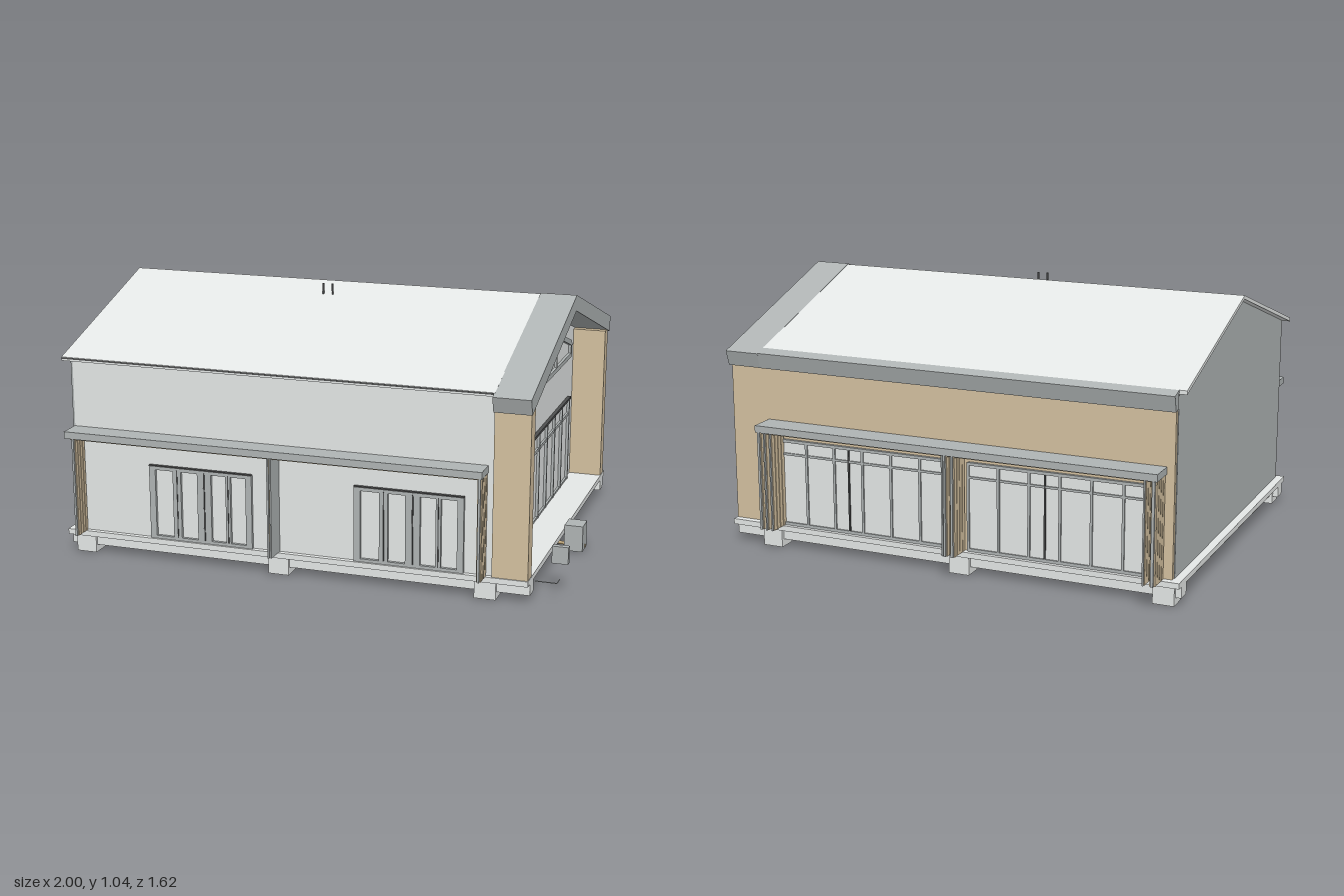
import * as THREE from 'three';

const mat = (name, color) => {
  const m = new THREE.MeshStandardMaterial({ color });
  m.name = name;
  return m;
};

export function createModel() {
  const model = new THREE.Group();
  model.name = 'gabledHall';
  const white = mat('pale cladding', 0xe4e7e6);
  const metal = mat('grey metal', 0xafb4b4);
  const tan = mat('timber', 0xd4c1a0);
  const dark = mat('dark trim', 0x4e4f4f);
  const brown = mat('brown pipe', 0xb59c6c);

  const add = (name, geo, material, parent = model) => {
    const m = new THREE.Mesh(geo, material);
    m.name = name;
    parent.add(m);
    return m;
  };
  // box from its minimum and maximum on each axis
  const box = (name, material, x0, x1, y0, y1, z0, z1, parent = model) => {
    const g = new THREE.BoxGeometry(x1 - x0, y1 - y0, z1 - z0);
    g.translate((x0 + x1) / 2, (y0 + y1) / 2, (z0 + z1) / 2);
    return add(name, g, material, parent);
  };
  // section given as [z, y] points, extruded along x
  const prism = (name, material, pts, x0, x1, hole) => {
    const toV = p => new THREE.Vector2(p[0], p[1]);
    const s = new THREE.Shape(pts.map(toV));
    if (hole) s.holes.push(new THREE.Path(hole.map(toV)));
    const g = new THREE.ExtrudeGeometry(s, { depth: x1 - x0, bevelEnabled: false });
    g.rotateY(-Math.PI / 2);
    g.translate(x1, 0, 0);
    return add(name, g, material);
  };
  const pipe = (name, material, r, pts) => {
    for (let i = 1; i < pts.length; i++) {
      const path = new THREE.LineCurve3(new THREE.Vector3(...pts[i - 1]), new THREE.Vector3(...pts[i]));
      add(name, new THREE.TubeGeometry(path, 1, r, 8), material);
    }
  };

  const ridge = 0.01, slope = 0.313;
  const roofY = (z, drop = 0) => 1.03 - drop - slope * Math.abs(z - ridge);

  // Foundation: slab, beams and footings
  box('floorSlab', white, -1, 0.885, 0.076, 0.098, -0.73, 0.735);
  for (const z of [0.67, -0.67]) box('longBeam', white, -1, 0.885, 0.03, 0.076, z - 0.028, z + 0.028);
  for (const x of [-0.935, -0.11, 0.715]) {
    box('crossBeam', white, x - 0.03, x + 0.03, 0.032, 0.076, -0.66, 0.66);
    for (const z of [0.67, -0.675]) box('footing', white, x - 0.042, x + 0.042, 0, 0.076, z - 0.038, z + 0.038);
  }

  // Hall body and its claddings
  const zF = 0.715, zB = -0.685;
  const section = [[zB, 0.098], [zF, 0.098], [zF, roofY(zF, 0.015)], [ridge, 1.015], [zB, roofY(zB, 0.015)]];
  prism('hallBody', white, section, -0.96, 0.745);
  prism('endCladding', metal, section, -0.968, -0.96);
  box('backWall', tan, -0.965, 0.75, 0.098, 0.785, -0.702, zB);
  box('frontWingWall', tan, 0.745, 0.883, 0.098, 0.748, 0.67, 0.73);
  box('backWingWall', tan, 0.745, 0.883, 0.098, 0.748, -0.702, -0.645);

  // Roof: thin main sheets, thick gable overhang, deep back eave
  const rf = 0.73, rb = -0.692;
  prism('mainRoof', white, [[rf, roofY(rf, 0.015)], [rf, roofY(rf)], [ridge, 1.03], [rb, roofY(rb)],
    [rb, roofY(rb, 0.015)], [ridge, 1.015]], -1, 0.745);
  prism('gableOverhang', metal, [[0.738, 0.734], [0.758, 0.795], [ridge, 1.033], [-0.738, 0.795],
    [-0.718, 0.734], [ridge, 0.97]], 0.742, 0.887);
  prism('backEave', metal, [[rb, roofY(rb)], [-0.738, 0.797], [-0.72, 0.734], [rb, 0.742]], -0.97, 0.745);
  box('frontEaveTrim', dark, -0.998, 0.742, 0.797, 0.803, 0.715, 0.731);
  for (const x of [-0.13, -0.09]) {
    const g = new THREE.CylinderGeometry(0.004, 0.004, 0.05, 10);
    g.translate(x, 1.013, 0.12);
    add('roofVent', g, dark);
  }

  // Upper gable window
  prism('gableWindowFrame', metal,
    [[0.577, 0.645], [0.585, 0.653], [0.585, 0.705], [0.575, 0.719], [ridge, 0.902],
      [-0.555, 0.719], [-0.565, 0.705], [-0.565, 0.653], [-0.557, 0.645]], 0.744, 0.757,
    [[0.565, 0.664], [0.565, 0.7], [ridge, 0.881], [-0.545, 0.7], [-0.545, 0.664]]);
  for (const z of [0.3, ridge, -0.28]) {
    const top = 0.893 - 0.32 * Math.abs(z - ridge);
    box('gableWindowMullion', metal, 0.744, 0.754, 0.65, top, z - 0.005, z + 0.005);
  }

  // Lower gable glazing
  box('glazingHead', dark, 0.744, 0.76, 0.459, 0.469, -0.56, 0.585);
  box('glazingTransom', metal, 0.744, 0.754, 0.388, 0.4, -0.56, 0.585);
  box('glazingSill', metal, 0.744, 0.754, 0.098, 0.106, -0.56, 0.585);
  for (let i = 0; i < 9; i++) {
    const z = 0.578 - i * 0.1415;
    box('glazingMullion', metal, 0.744, 0.756, 0.098, 0.465, z - 0.006, z + 0.006);
  }

  // Front doors: stiles as [offset, width]
  for (const x0 of [-0.64, 0.205]) {
    const door = new THREE.Group();
    door.name = 'frontDoors';
    model.add(door);
    box('doorHead', metal, x0, x0 + 0.43, 0.38, 0.394, zF, zF + 0.012, door);
    box('doorHeadTrim', dark, x0, x0 + 0.43, 0.393, 0.398, zF, zF + 0.014, door);
    box('doorSill', metal, x0, x0 + 0.43, 0.098, 0.11, zF, zF + 0.012, door);
    for (const [d, w] of [[0, 0.026], [0.1, 0.034], [0.203, 0.026], [0.235, 0.026], [0.322, 0.02], [0.405, 0.025]])
      box('doorStile', metal, x0 + d, x0 + d + w, 0.1, 0.385, zF, zF + 0.012, door);
    for (const d of [0.118, 0.232, 0.332])
      box('doorJoint', dark, x0 + d - 0.002, x0 + d + 0.002, 0.11, 0.385, zF, zF + 0.014, door);
  }

  // Back windows between the timber fins
  for (const [x0, x1] of [[-0.9, -0.15], [-0.07, 0.675]]) {
    box('backGlass', white, x0, x1, 0.098, 0.45, -0.708, -0.702);
    box('backWindowHead', metal, x0, x1, 0.44, 0.452, -0.714, -0.702);
    box('backWindowTransom', metal, x0, x1, 0.388, 0.397, -0.713, -0.702);
    box('backWindowSill', metal, x0, x1, 0.098, 0.11, -0.714, -0.702);
    for (let i = 0; i <= 6; i++) {
      const x = x0 + (x1 - x0) * i / 6;
      box('backMullion', metal, x - 0.005, x + 0.005, 0.1, 0.45, -0.714, -0.702);
    }
    const xd = x0 + (x1 - x0) * 0.58;
    box('backDoorJoint', dark, xd - 0.003, xd + 0.003, 0.11, 0.44, -0.715, -0.702);
  }

  // Porch canopies with soffits and slatted posts; plated posts have a metal face towards +x
  const porch = (side, wall, edge, x0, x1, posts) => {
    const base = Math.abs(wall), depth = edge - base;
    const span = (a, b) => side > 0 ? [base + a, base + b] : [-base - b, -base - a];
    box('canopy', metal, x0, x1, 0.497, 0.525, ...span(-0.002, depth));
    box('canopySoffit', tan, x0 + 0.02, x1 - 0.01, 0.491, 0.497, ...span(0, depth - 0.012));
    for (const [x, w, plated] of posts) {
      const pitch = (depth - 0.014) / 4;
      for (let i = 0; i < 4; i++) {
        const a = 0.006 + i * pitch;
        box('porchSlat', tan, x - w / 2, x + w / 2, 0.098, 0.495, ...span(a, a + pitch - 0.004));
      }
      box('postCore', metal, x - w / 4, x + w / 4, 0.098, 0.495, ...span(0, depth - 0.003));
      if (plated) box('postPlate', metal, x + w / 2, x + w / 2 + 0.006, 0.098, 0.495, ...span(0, depth - 0.006));
    }
  };
  porch(1, zF, 0.808, -0.962, 0.722, [[-0.928, 0.016], [-0.113, 0.014, true], [0.712, 0.018]]);
  porch(-1, -0.702, 0.81, -0.935, 0.722, [[-0.92, 0.022], [-0.885, 0.012], [-0.125, 0.018], [-0.095, 0.016, true],
    [0.66, 0.012], [0.685, 0.012], [0.71, 0.018]]);

  // Service boxes and pipes
  box('serviceBox', metal, 0.885, 0.96, 0.005, 0.112, 0.018, 0.102);
  box('meterBox', metal, 0.937, 1, 0.122, 0.19, 0.552, 0.575);
  pipe('meterCable', metal, 0.002, [[0.885, 0.058, 0.612], [0.968, 0.058, 0.612], [0.968, 0.058, 0.57]]);
  pipe('drainPipe', brown, 0.007, [[0.965, 0.017, 0.055], [-0.13, 0.05, 0.055]]);
  pipe('drainBranch', brown, 0.006, [[-0.05, 0.048, -0.03], [-0.05, 0.048, 0.12], [-0.05, 0.078, 0.12]]);
  return model;
}
